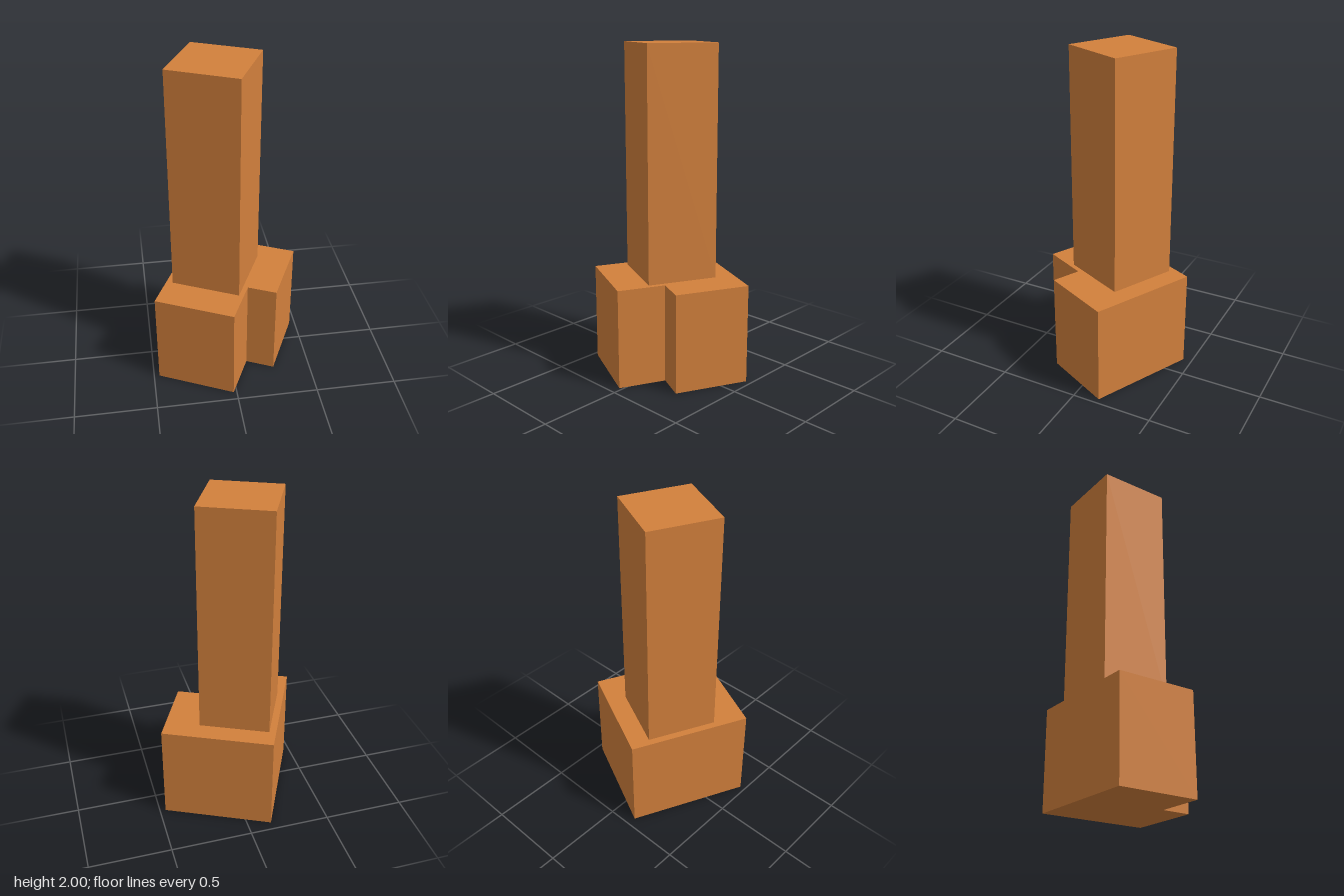
import * as THREE from 'three';

// Vertical prism from a plan outline given as [x, z] corners
function prism(name, plan, bottom, top, material) {
  const shape = new THREE.Shape(plan.map(([x, z]) => new THREE.Vector2(x, -z)));
  const geometry = new THREE.ExtrudeGeometry(shape, { depth: top - bottom, bevelEnabled: false });
  geometry.rotateX(-Math.PI / 2);
  const mesh = new THREE.Mesh(geometry, material);
  mesh.name = name;
  mesh.position.y = bottom;
  return mesh;
}

export function createModel() {
  const group = new THREE.Group();
  group.name = 'towerBuilding';
  const material = new THREE.MeshStandardMaterial({ color: 0xd2803c });

  // Low podium with a notched front corner
  const podium = [
    [-0.145, -0.445], [0.465, -0.152], [0.268, 0.258],
    [0.105, 0.181], [-0.02, 0.442], [-0.467, 0.228],
  ];
  // Tall rectangular tower standing on the podium
  const tower = [[-0.16, -0.318], [0.224, -0.135], [0.04, 0.25], [-0.344, 0.065]];

  group.add(prism('podium', podium, 0, 0.61, material));
  group.add(prism('tower', tower, 0.61, 2, material));
  return group;
}
